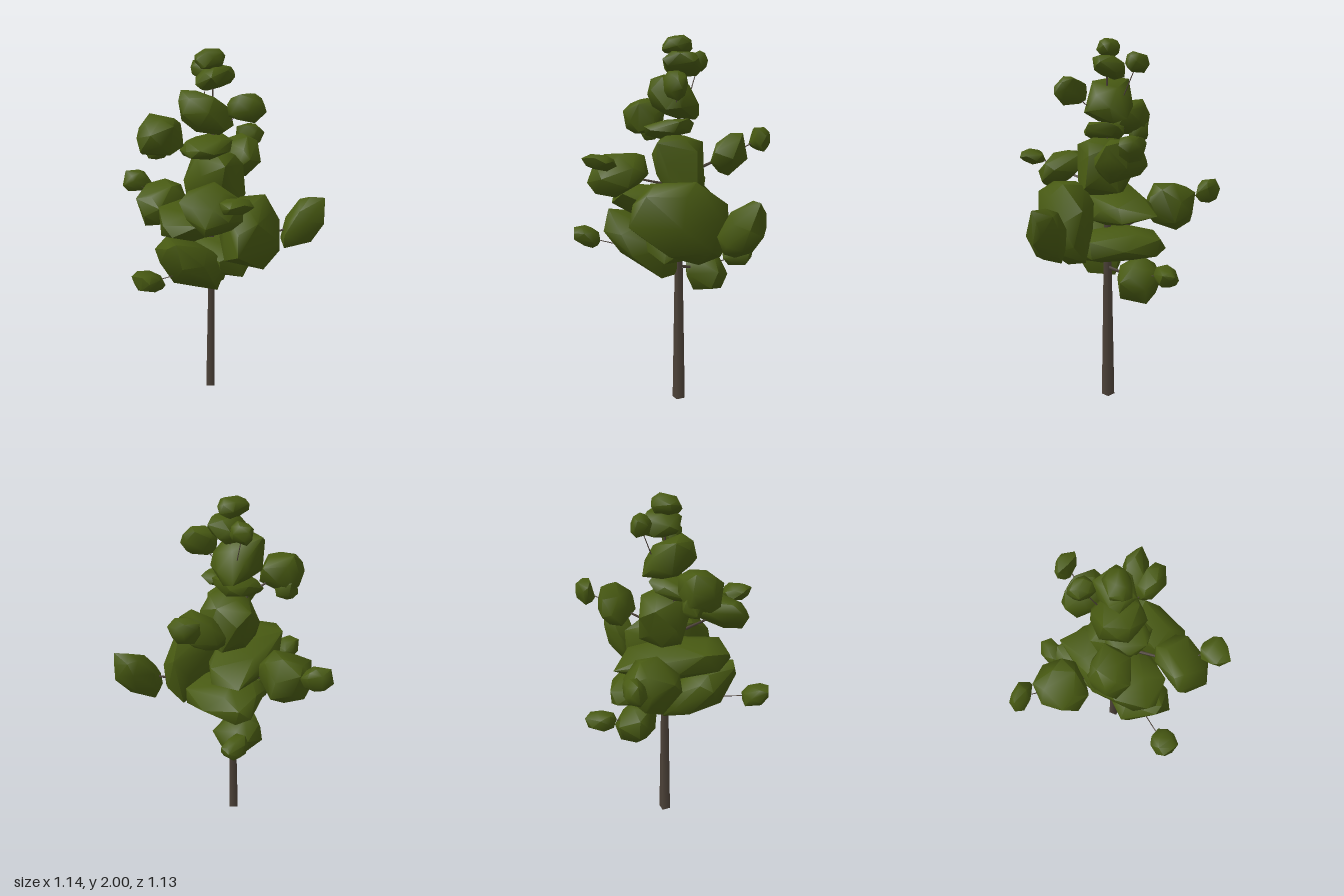
import * as THREE from 'three';
import { ConvexGeometry } from 'three/addons/geometries/ConvexGeometry.js';
import { mergeVertices, toCreasedNormals } from 'three/addons/utils/BufferGeometryUtils.js';

const leafMaterial = new THREE.MeshStandardMaterial({ color: 0x485a12 });
const barkMaterial = new THREE.MeshStandardMaterial({ color: 0x50453b });

function seededRandom(seed) {
  let s = seed * 7919 + 17;
  return () => {
    s = (s * 16807) % 2147483647;
    return s / 2147483647;
  };
}

// Rough convex clump: jittered points on a boxy ball, slanted, then fitted to its size.
// slant = [rise along x, rise along z, z shift along x]
function clumpGeometry(seed, half, [riseX, riseZ, skew]) {
  const random = seededRandom(seed);
  for (let i = 0; i < 5; i++) random();
  const count = 22, points = [];
  const turn = random() * 6.28;
  const boxy = (c) => Math.sign(c) * Math.pow(Math.abs(c), 0.85);
  for (let i = 0; i < count; i++) {
    const y = 1 - (2 * i + 1) / count;
    const r = Math.sqrt(1 - y * y);
    const a = turn + i * 2.4 + (random() - 0.5) * 0.7;
    const size = 0.88 + random() * 0.24;
    const p = new THREE.Vector3(boxy(r * Math.cos(a)), boxy(y), boxy(r * Math.sin(a)));
    p.multiplyScalar(size);
    p.y += riseX * p.x + riseZ * p.z;
    p.z += skew * p.x;
    points.push(p);
  }
  const box = new THREE.Box3().setFromPoints(points);
  const centre = box.getCenter(new THREE.Vector3());
  const extent = box.getSize(new THREE.Vector3()).multiplyScalar(0.5);
  const fit = new THREE.Vector3(...half).divide(extent);
  points.forEach((p) => p.sub(centre).multiply(fit));
  const hull = new ConvexGeometry(points);
  hull.deleteAttribute('normal');
  return toCreasedNormals(mergeVertices(hull), 1);
}

// Tapered four-sided limb between two points
function limb(name, from, to, r0, r1) {
  const a = new THREE.Vector3(...from), b = new THREE.Vector3(...to);
  const dir = b.clone().sub(a);
  const mesh = new THREE.Mesh(new THREE.CylinderGeometry(r1, r0, dir.length(), 4), barkMaterial);
  mesh.position.copy(a).addScaledVector(dir, 0.5);
  mesh.quaternion.setFromUnitVectors(new THREE.Vector3(0, 1, 0), dir.normalize());
  mesh.name = name;
  return mesh;
}

// Clumps: centre, half size, slant, height where the branch leaves the trunk
const clumps = [
  { at: [0.015, 1.95, 0.065], half: [0.085, 0.05, 0.065] },
  { at: [0.04, 1.85, 0.065], half: [0.105, 0.065, 0.085], slant: [0, 0.3, 0] },
  { at: [-0.013, 1.68, 0.065], half: [0.148, 0.12, 0.132], slant: [-0.5, 0, 0] },
  { at: [-0.03, 1.51, 0.09], half: [0.125, 0.055, 0.11], slant: [0.4, 0, 0] },
  { at: [0.03, 1.325, 0.08], half: [0.14, 0.165, 0.155] },
  { at: [-0.213, 1.58, -0.07], half: [0.122, 0.1, 0.108], from: 1.4 },
  { at: [-0.2, 1.5, -0.11], half: [0.055, 0.06, 0.055] },
  { at: [0.295, 1.378, 0.01], half: [0.09, 0.113, 0.135], slant: [0.3, 0, 0], from: 1.25 },
  { at: [-0.217, 1.278, 0.335], half: [0.152, 0.112, 0.133], slant: [0.1, -0.5, 0], from: 1.2 },
  { at: [-0.05, 1.1, 0.03], half: [0.295, 0.1, 0.215], slant: [-0.4, 0, -0.4] },
  { at: [0.105, 1.035, 0.3], half: [0.24, 0.215, 0.152], slant: [-0.25, 0, -0.35], from: 0.9 },
  { at: [0.438, 1.025, 0.382], half: [0.128, 0.15, 0.097], slant: [0.5, 0, 0.5], from: 0.9 },
  { at: [-0.047, 1.097, -0.28], half: [0.147, 0.133, 0.135], from: 0.95 },
  { at: [-0.17, 0.895, 0.12], half: [0.195, 0.185, 0.16], slant: [-0.8, 0, 0] },
  { at: [0.11, 0.905, 0.04], half: [0.21, 0.105, 0.275], slant: [0.1, -0.2, -0.2] },
  { at: [0.145, 0.717, -0.098], half: [0.113, 0.116, 0.118], slant: [-0.15, 0, 0], from: 0.76 },
];

// Outer tufts, each on a twig starting at the given point
const tufts = [
  { at: [0.095, 1.875, -0.085], half: [0.053, 0.055, 0.063], from: [0.05, 1.62, 0.02] },
  { at: [0.068, 1.728, 0.265], half: [0.072, 0.075, 0.085], slant: [0, 0, 0.5], from: [0.02, 1.55, 0.07] },
  { at: [0.445, 1.455, -0.04], half: [0.06, 0.065, 0.07], slant: [0, 0, 0.5], from: [0.3, 1.38, 0.01] },
  { at: [-0.252, 1.352, 0.495], half: [0.08, 0.043, 0.072], slant: [-0.2, 0.2, 0], from: [-0.2, 1.3, 0.34] },
  { at: [-0.49, 0.905, 0.138], half: [0.08, 0.062, 0.07], slant: [-0.4, 0, 0], from: [-0.15, 0.84, 0.1] },
  { at: [-0.04, 1.178, -0.49], half: [0.073, 0.066, 0.073], slant: [0, 0, 0.5], from: [-0.04, 1.1, -0.3] },
  { at: [0.29, 0.77, -0.227], half: [0.083, 0.052, 0.065], from: [0.14, 0.74, -0.1] },
];

export function createModel() {
  const tree = new THREE.Group();
  tree.name = 'tree';

  // Trunk
  const trunkX = 0.026, trunkZ = 0.073;
  tree.add(limb('trunk', [trunkX, 0, trunkZ], [trunkX, 1.9, trunkZ], 0.036, 0.004));

  // Foliage and the branches that carry it
  const foliage = new THREE.Group(), branches = new THREE.Group();
  foliage.name = 'foliage';
  branches.name = 'branches';
  tree.add(foliage, branches);

  const addClump = (name, { at, half, slant = [0, 0, 0] }, seed) => {
    const mesh = new THREE.Mesh(clumpGeometry(seed, half, slant), leafMaterial);
    mesh.position.set(...at);
    mesh.name = name;
    foliage.add(mesh);
  };
  clumps.forEach((c, i) => {
    addClump('leafClump', c, i + 1);
    if (c.from) branches.add(limb('branch', [trunkX, c.from, trunkZ], c.at, 0.012, 0.004));
  });
  tufts.forEach((t, i) => {
    addClump('leafTuft', t, i + 41);
    branches.add(limb('twig', t.from, t.at, 0.004, 0.002));
  });
  return tree;
}
